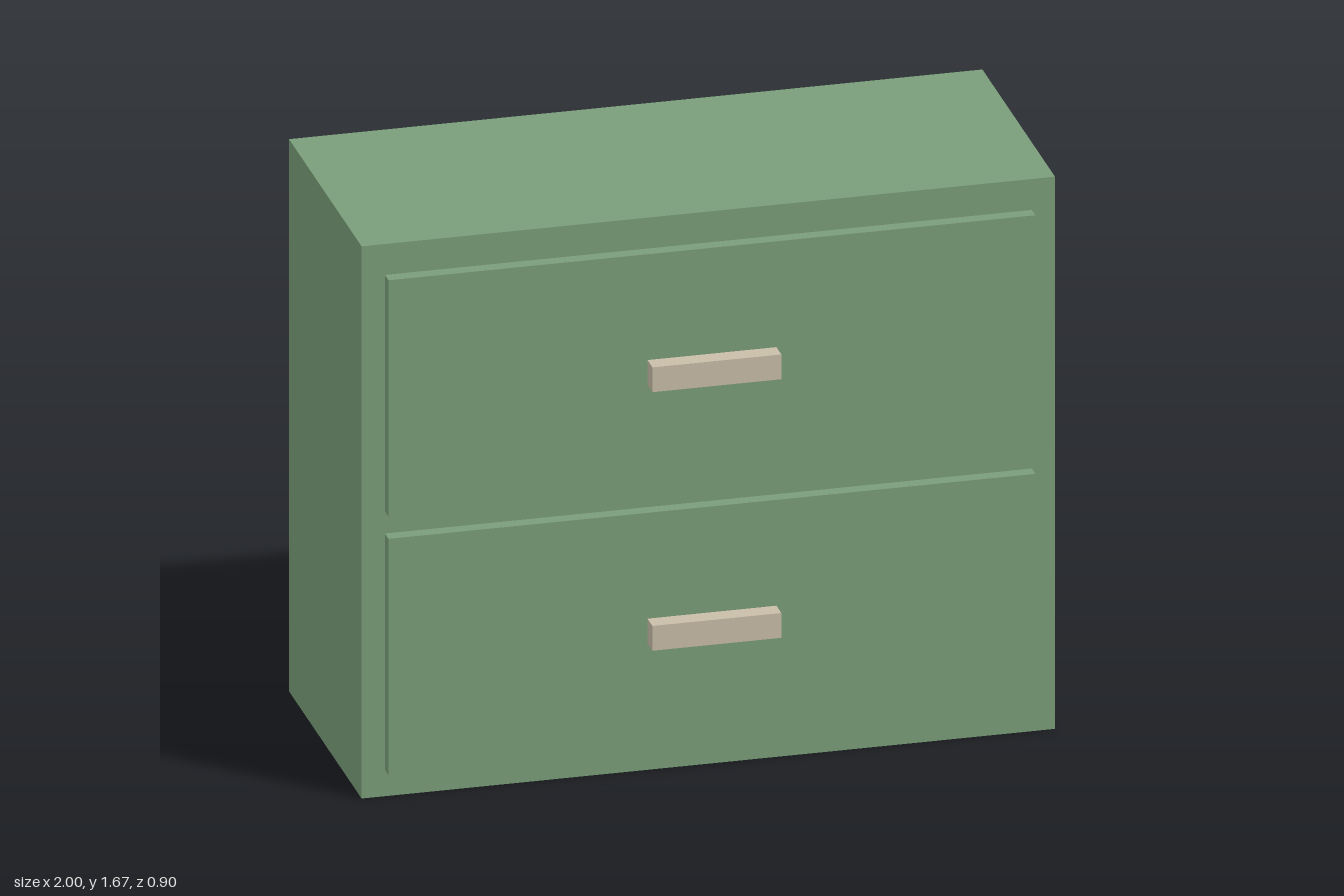
import * as THREE from 'three';

const green = new THREE.MeshStandardMaterial({ name: 'sage green paint', color: 0x7a9e7a });
const beige = new THREE.MeshStandardMaterial({ name: 'beige handle', color: 0xc8bda8 });

// Box given by its width, height and depth, its centre height and the z of its back face
function box(name, material, w, h, d, y, zBack) {
  const mesh = new THREE.Mesh(new THREE.BoxGeometry(w, h, d), material);
  mesh.name = name;
  mesh.position.set(0, y, zBack + d / 2);
  return mesh;
}

export function createModel() {
  const model = new THREE.Group();
  model.name = 'chestOfDrawers';

  // Cabinet body
  model.add(box('cabinet', green, 2, 1.67, 0.803, 0.835, -0.449));

  // Two drawers, each with a raised front and a bar handle
  [['lowerDrawer', 0.437], ['upperDrawer', 1.219]].forEach(([name, y]) => {
    const drawer = new THREE.Group();
    drawer.name = name;
    drawer.add(box('drawerFront', green, 1.866, 0.715, 0.04, y, 0.354));
    drawer.add(box('handle', beige, 0.372, 0.075, 0.055, y, 0.394));
    model.add(drawer);
  });

  return model;
}
